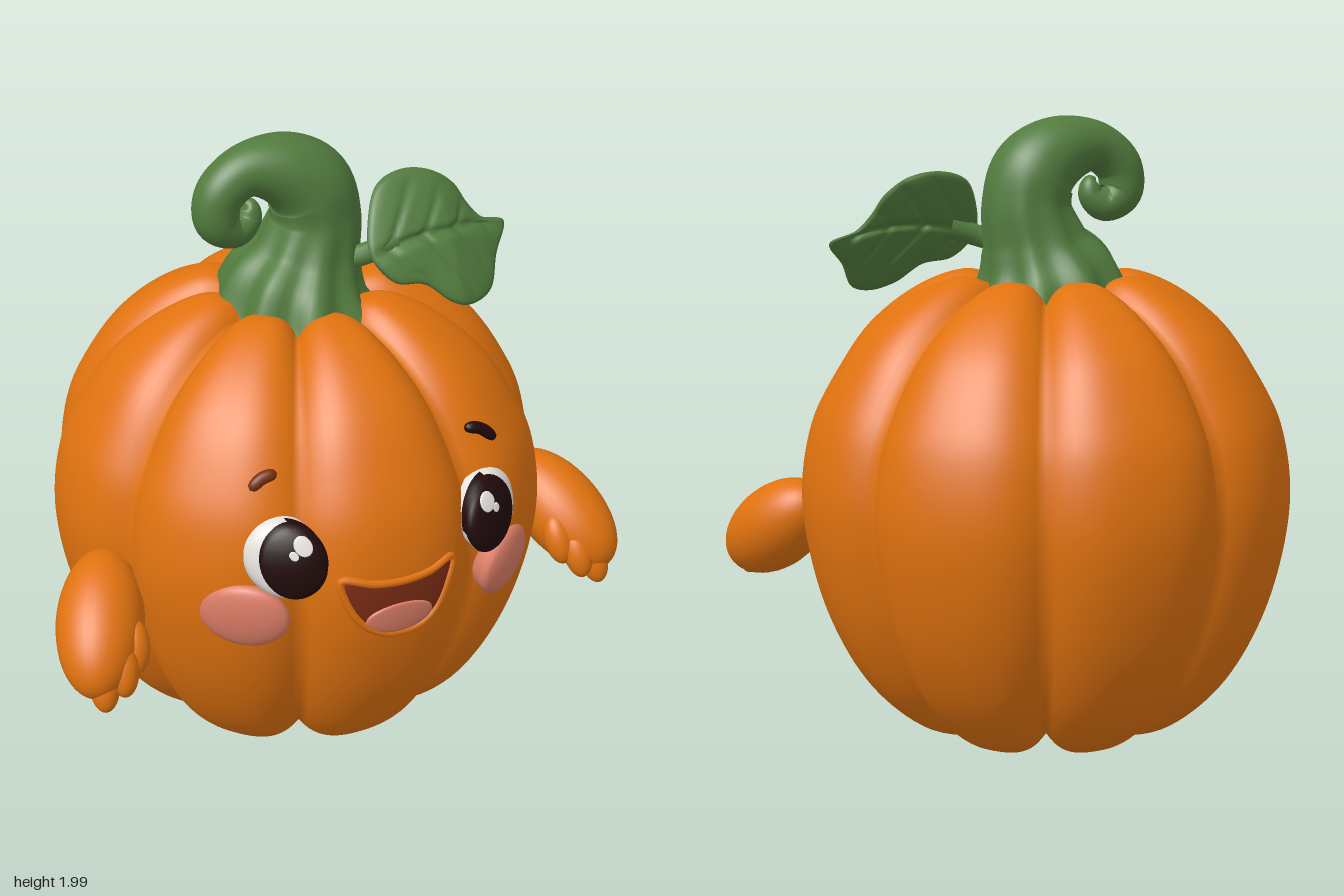
import * as THREE from 'three';
import { mergeVertices } from 'three/addons/utils/BufferGeometryUtils.js';

const V2 = (x, y) => new THREE.Vector2(x, y);
const V3 = (x, y, z) => new THREE.Vector3(x, y, z);

// Smooth surface from fn(u, v) -> [x, y, z]; it faces along du x dv
function surface(nu, nv, fn) {
  const pos = [], idx = [];
  for (let j = 0; j <= nv; j++) for (let i = 0; i <= nu; i++) pos.push(...fn(i / nu, j / nv, i, j));
  for (let j = 0; j < nv; j++) for (let i = 0; i < nu; i++) {
    const a = j * (nu + 1) + i, d = a + nu + 1;
    idx.push(a, a + 1, d + 1, a, d + 1, d);
  }
  let g = new THREE.BufferGeometry();
  g.setAttribute('position', new THREE.Float32BufferAttribute(pos, 3));
  g.setIndex(idx);
  g = mergeVertices(g);
  g.computeVertexNormals();
  return g;
}

// Body profile (radius, height) along the middle of a lobe, bottom to top
const profile = new THREE.SplineCurve([
  [0, 0.1], [0.09, 0.055], [0.2, 0.01], [0.3, 0.005], [0.45, 0.06], [0.6, 0.2], [0.71, 0.4], [0.775, 0.62],
  [0.797, 0.83], [0.77, 1.02], [0.71, 1.16], [0.6, 1.32], [0.45, 1.44], [0.3, 1.5], [0.2, 1.48], [0.1, 1.42], [0, 1.39],
].map(p => V2(...p)));
const ROWS = 80, LOBE = Math.PI / 4, DEPTH = 0.068;
const rows = profile.getSpacedPoints(ROWS);
const groove = a => Math.abs((a / LOBE - Math.round(a / LOBE)) * 2) ** 3;

// Depth z of the front skin at (x, y); ribs = 0 ignores the grooves
function skin(x, y, ribs = 1) {
  const i = rows.findIndex((p, k) => k < ROWS && p.x > 0.3 && p.y <= y && rows[k + 1].y >= y);
  const a = rows[i], b = rows[i + 1];
  const r = a.x + (b.x - a.x) * (y - a.y) / (b.y - a.y);
  let z = r;
  for (let k = 0; k < 6; k++) {
    const rr = r - ribs * DEPTH * groove(Math.atan2(x, z));
    z = Math.sqrt(Math.max(0.01, rr * rr - x * x));
  }
  return z;
}

const ellipse = (cx, cy, rx, ry) => Array.from({ length: 48 }, (_, k) => {
  const a = k / 48 * Math.PI * 2;
  return V2(cx + rx * Math.cos(a), cy + ry * Math.sin(a));
});

// Patch laid over a depth function, domed in the middle, with a short skirt at its rim
function patch(outline, cx, cy, depth, base, dome, skirt = 0.012) {
  const n = outline.length, R = 12;
  return surface(R, n, (u, v, i, j) => {
    const k = Math.min(1, i / (R - 1)), p = outline[j % n];
    const x = cx + (p.x - cx) * k, y = cy + (p.y - cy) * k;
    return [x, y, depth(x, y) + base + dome * Math.sqrt(1 - k * k) - (i === R ? skirt : 0)];
  });
}

export function createModel() {
  const root = new THREE.Group();
  const mat = (name, color) => Object.assign(new THREE.MeshStandardMaterial({ color }), { name });
  const orange = mat('pumpkin orange', 0xe0720f), green = mat('stem green', 0x527b3e);
  const pink = mat('cheek pink', 0xdb7d66), white = mat('eye white', 0xe6e2de);
  const dark = mat('pupil dark', 0x210a0a), red = mat('mouth brown', 0x7c2c14);
  const brown = mat('brow brown', 0x74300f);
  const add = (name, geo, m, parent = root) => {
    const mesh = new THREE.Mesh(geo, m);
    mesh.name = name;
    parent.add(mesh);
    return mesh;
  };

  // Ribbed body: eight lobes, pushed in along the profile normal at the grooves
  add('body', surface(160, ROWS, (u, v, i, j) => {
    const a = u * Math.PI * 2, p = rows[j];
    const t = rows[Math.min(ROWS, j + 1)].clone().sub(rows[Math.max(0, j - 1)]).normalize();
    const d = DEPTH * groove(a) * Math.min(1, p.x / 0.25);
    const r = Math.max(0, p.x - d * t.y), y = p.y + d * t.x;
    return [r * Math.sin(a), y, r * Math.cos(a)];
  }), orange);

  // Curled stem: sweep in the xy plane, third number is the radius
  const path = new THREE.CatmullRomCurve3([
    [0, 1.42, 0.26], [0.01, 1.5, 0.225], [0.04, 1.6, 0.165], [0.065, 1.72, 0.14], [0.04, 1.82, 0.135],
    [-0.05, 1.885, 0.112], [-0.17, 1.895, 0.08], [-0.25, 1.83, 0.074], [-0.255, 1.75, 0.07],
    [-0.2, 1.715, 0.057], [-0.155, 1.745, 0.042], [-0.155, 1.785, 0.028], [-0.17, 1.8, 0],
  ].map(p => V3(...p)));
  add('stem', surface(64, 90, (u, v) => {
    const p = path.getPoint(v), t = path.getTangent(v);
    const l = Math.hypot(t.x, t.y), a = u * Math.PI * 2;
    const ridge = 1 + 0.09 * Math.max(0, 1 - v / 0.32) * Math.cos(9 * a);
    const r = p.z * ridge, c = r * Math.cos(a);
    return [p.x - c * t.y / l, p.y + c * t.x / l, r * Math.sin(a) * 1.06];
  }), green);

  // Puffy leaf: closed shell around an outline, with grooved veins on both faces
  const edge = new THREE.CatmullRomCurve3([
    [0.69, 1.615], [0.6, 1.65], [0.555, 1.7], [0.52, 1.76], [0.44, 1.815], [0.34, 1.83], [0.25, 1.8], [0.2, 1.72],
    [0.18, 1.62], [0.24, 1.54], [0.34, 1.52], [0.42, 1.46], [0.5, 1.44], [0.58, 1.46], [0.63, 1.54],
  ].map(p => V3(...p, 0)), true).getPoints(96);
  add('leaf', surface(48, 96, (u, v, i, j) => {
    const front = u <= 0.5, k = front ? u * 2 : 2 - u * 2, p = edge[j % 96];
    const x = 0.4 + (p.x - 0.4) * k, y = 1.645 + (p.y - 1.645) * k;
    const w = y - (1.66 - 0.8 * (x - 0.42) ** 2);
    const s = ((x - 0.24 - Math.abs(w) * 0.8) / 0.12 % 1 + 1.5) % 1 - 0.5;
    const vein = Math.exp(-((w / 0.014) ** 2)) + 0.55 * Math.exp(-((s * 0.12 / 0.014) ** 2));
    const sheet = 0.03 + (1.83 - y) * 0.62 - 0.35 * Math.max(0, x - 0.45);
    const half = 0.036 * Math.sqrt(1 - k * k) - 0.015 * vein * Math.min(1, (1 - k) * 4);
    return [x, y, sheet + (front ? half : -half)];
  }), green);
  add('leafStalk', new THREE.TubeGeometry(new THREE.CatmullRomCurve3(
    [V3(0.08, 1.58, 0.06), V3(0.17, 1.61, 0.12), V3(0.28, 1.645, 0.13)]), 12, 0.035, 10), green);

  // Eyes with pupils and glints
  const smooth = (x, y) => skin(x, y, 0);
  for (const s of [1, -1]) {
    const eye = new THREE.Group();
    eye.name = s > 0 ? 'leftEye' : 'rightEye';
    root.add(eye);
    const cx = 0.338 * s, cy = 0.967, rx = 0.11, ry = 0.118;
    const ball = (x, y) => smooth(x, y) - 0.008
      + 0.04 * Math.sqrt(Math.max(0, 1 - ((x - cx) / rx) ** 2 - ((y - cy) / ry) ** 2));
    add('eyeWhite', patch(ellipse(cx, cy, rx, ry), cx, cy, smooth, -0.008, 0.04, 0.06), white, eye);
    add('pupil', patch(ellipse(0.322 * s, 0.972, 0.095, 0.112), 0.322 * s, 0.972, ball, 0.007, 0, 0.03), dark, eye);
    for (const [x, y, r] of [[0.302, 1.033, 0.026], [0.332, 1.008, 0.012]])
      add('glint', patch(ellipse(x * s, y, r, r), x * s, y, ball, 0.013, 0, 0.006), white, eye);
  }

  // Cheeks
  for (const [name, x, y] of [['leftCheek', 0.412, 0.76], ['rightCheek', -0.45, 0.775]])
    add(name, patch(ellipse(x, y, 0.115, 0.11), x, y, smooth, -0.005, 0.035, 0.06), pink);

  // Brows: slim tubes along the skin
  for (const [name, m, pts] of [
    ['leftBrow', dark, [[0.295, 1.213], [0.35, 1.198], [0.4, 1.155]]],
    ['rightBrow', brown, [[-0.405, 1.165], [-0.365, 1.195], [-0.32, 1.205]]],
  ]) {
    const curve = new THREE.CatmullRomCurve3(pts.map(([x, y]) => V3(x, y, skin(x, y) + 0.012)));
    add(name, surface(12, 16, (u, v) => {
      const p = curve.getPoint(v), r = 0.019 * Math.sqrt(Math.max(0, 1 - (2 * v - 1) ** 4));
      const t = curve.getTangent(v), n = V3(0, 0, 1).cross(t).normalize(), b = t.clone().cross(n);
      const a = u * Math.PI * 2;
      p.addScaledVector(n, r * Math.cos(a)).addScaledVector(b, r * Math.sin(a));
      return [p.x, p.y, p.z];
    }), m);
  }

  // Open smiling mouth with lip rim and tongue
  const smile = new THREE.CatmullRomCurve3([
    [0.165, 0.888], [0.08, 0.873], [0, 0.867], [-0.09, 0.873], [-0.18, 0.888], [-0.165, 0.81], [-0.12, 0.74],
    [-0.06, 0.7], [0, 0.69], [0.06, 0.7], [0.11, 0.74], [0.145, 0.81],
  ].map(p => V3(...p, 0)), true).getPoints(60).slice(0, 60);
  add('mouth', patch(smile, 0, 0.79, skin, 0.005, 0), red);
  add('tongue', patch(ellipse(-0.012, 0.747, 0.108, 0.052), -0.012, 0.747, skin, 0.009, 0.004), pink);
  const rim = new THREE.CatmullRomCurve3(smile.map(p => {
    const x = p.x * 1.04, y = 0.79 + (p.y - 0.79) * 1.06;
    return V3(x, y, skin(x, y));
  }), true);
  add('lip', new THREE.TubeGeometry(rim, 90, 0.013, 8, true), orange);

  // Stubby arms with three fingers each
  const blob = new THREE.SphereGeometry(1, 32, 24);
  for (const s of [1, -1]) {
    const arm = new THREE.Group();
    arm.name = s > 0 ? 'leftArm' : 'rightArm';
    root.add(arm);
    const ovoid = (name, c, d, long, short) => {
      const m = add(name, blob, orange, arm);
      m.position.set(c[0] * s, c[1], c[2]);
      m.quaternion.setFromUnitVectors(V3(0, 1, 0), V3(d[0] * s, d[1], d[2]).normalize());
      m.scale.set(short, long, short);
    };
    ovoid('forearm', [0.805, 0.667, 0.355], [0.35, -0.55, 0.75], 0.24, 0.135);
    for (const c of [[0.735, 0.63, 0.465], [0.787, 0.587, 0.505], [0.85, 0.55, 0.505]])
      ovoid('finger', c, [0.1, -0.8, 0.35], 0.085, 0.046);
  }
  return root;
}
